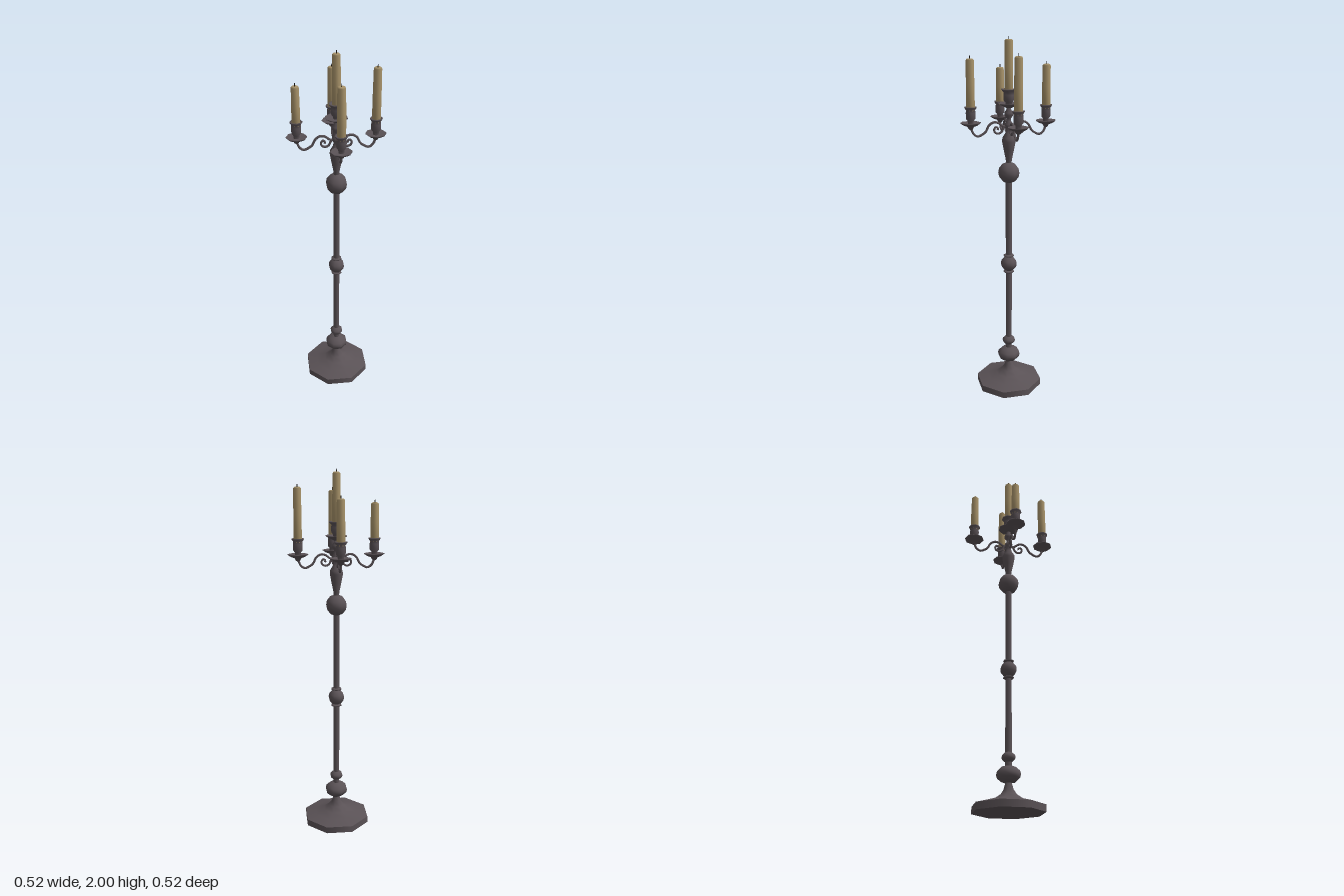
import * as THREE from 'three';

const metal = new THREE.MeshStandardMaterial({ color: 0x5a5256 });
metal.name = 'dark iron';
const wax = new THREE.MeshStandardMaterial({ color: 0xa8936a });
wax.name = 'beeswax';
const char = new THREE.MeshStandardMaterial({ color: 0x1c1816 });
char.name = 'charred wick';

const FLAT = Math.PI / 8; // turns an octagon so that its flats face the axes

// Eight-sided turned part from [radius, y] pairs, listed bottom to top
function turned(name, profile, material, phase = 0) {
  const k = phase ? 1 / Math.cos(phase) : 1;
  const points = profile.map(([r, y]) => new THREE.Vector2(r * k, y));
  const mesh = new THREE.Mesh(new THREE.LatheGeometry(points, 8, phase), material);
  mesh.name = name;
  return mesh;
}

// Bent iron rod through [distance from the axis, y] pairs
function rod(name, path, radius) {
  const curve = new THREE.CatmullRomCurve3(path.map(([x, y]) => new THREE.Vector3(x, y, 0)));
  const mesh = new THREE.Mesh(new THREE.TubeGeometry(curve, 24, radius, 6), metal);
  mesh.name = name;
  return mesh;
}

// Ball profile with pointed ends hidden in the shaft
function ball(y, r, h, neck) {
  return [[neck, y - h], [r * 0.6, y - h * 0.85], [r * 0.92, y - h * 0.42], [r, y],
    [r * 0.92, y + h * 0.42], [r * 0.6, y + h * 0.85], [neck, y + h]];
}

function candle(bottom, top) {
  const group = new THREE.Group();
  group.name = 'candle';
  const body = top - 0.014;
  group.add(turned('waxBody', [[0, bottom], [0.0215, bottom], [0.021, (bottom + body) / 2],
    [0.0195, body - 0.008], [0.014, body - 0.001], [0, body - 0.003]], wax, FLAT));
  const wick = new THREE.Mesh(new THREE.CylinderGeometry(0.002, 0.0025, 0.02, 5), char);
  wick.name = 'wick';
  wick.position.y = top - 0.01;
  group.add(wick);
  return group;
}

// Drip dish and candle cup carried at the end of an arm
function holder() {
  const group = new THREE.Group();
  group.name = 'holder';
  group.add(turned('dripDish', [[0, 1.522], [0.012, 1.53], [0.018, 1.542], [0.038, 1.549],
    [0.055, 1.56], [0.055, 1.564], [0.036, 1.557], [0, 1.556]], metal));
  group.add(turned('cup', [[0.015, 1.555], [0.016, 1.572], [0.025, 1.583], [0.026, 1.615],
    [0.024, 1.628], [0.033, 1.641], [0.033, 1.646], [0.024, 1.644], [0.02, 1.63], [0, 1.63]], metal));
  return group;
}

export function createModel() {
  const model = new THREE.Group();
  model.name = 'candelabrum';

  // Flared foot
  model.add(turned('foot', [[0, 0], [0.175, 0], [0.175, 0], [0.175, 0.036], [0.175, 0.036],
    [0.12, 0.052], [0.07, 0.068], [0.04, 0.09], [0.024, 0.115], [0.015, 0.15]], metal, FLAT));

  // Column with its knops
  model.add(turned('shaft', [[0.016, 0.13], [0.016, 1.25]], metal, FLAT));
  model.add(turned('lowerKnop', ball(0.19, 0.06, 0.043, 0.014), metal, FLAT));
  model.add(turned('smallKnop', ball(0.278, 0.034, 0.026, 0.014), metal, FLAT));
  model.add(turned('middleKnop', ball(0.758, 0.042, 0.042, 0.014), metal, FLAT));
  model.add(turned('upperKnop', ball(1.285, 0.054, 0.056, 0.012), metal, FLAT));
  for (const y of [0.71, 0.806]) {
    model.add(turned('collar', [[0.014, y - 0.008], [0.027, y - 0.003], [0.027, y + 0.003],
      [0.014, y + 0.008]], metal, FLAT));
  }

  // Vase and stem that carry the arms
  model.add(turned('vase', [[0.013, 1.33], [0.016, 1.36], [0.026, 1.41], [0.034, 1.455],
    [0.032, 1.475], [0.018, 1.5], [0.013, 1.52], [0.02, 1.535], [0.022, 1.55], [0.012, 1.565],
    [0.011, 1.58], [0.022, 1.595], [0.022, 1.61], [0.012, 1.625], [0.012, 1.645]], metal, FLAT));

  // Central dish, cup and candle
  model.add(turned('centreDish', [[0, 1.63], [0.015, 1.635], [0.035, 1.645], [0.055, 1.656],
    [0.055, 1.66], [0.036, 1.653], [0, 1.652]], metal, FLAT));
  model.add(turned('centreCup', [[0.015, 1.65], [0.017, 1.663], [0.026, 1.674], [0.027, 1.702],
    [0.025, 1.714], [0.037, 1.728], [0.037, 1.733], [0.025, 1.73], [0.02, 1.718], [0, 1.718]], metal, FLAT));
  model.add(candle(1.715, 2));

  // Four arms, with candles burnt to different heights: +x, +z, -x, -z
  [1.925, 1.905, 1.845, 1.872].forEach((top, i) => {
    const arm = new THREE.Group();
    arm.name = 'arm';
    arm.add(rod('branch', [[0.01, 1.535], [0.035, 1.54], [0.06, 1.558], [0.085, 1.56], [0.108, 1.545],
      [0.125, 1.513], [0.145, 1.498], [0.168, 1.489], [0.19, 1.502], [0.205, 1.535]], 0.0065));
    arm.add(rod('scroll', [[0.012, 1.545], [0.03, 1.528], [0.038, 1.51], [0.055, 1.5], [0.074, 1.506],
      [0.08, 1.522], [0.07, 1.535], [0.058, 1.528], [0.062, 1.52]], 0.006));
    const end = new THREE.Group();
    end.name = 'armEnd';
    end.position.x = 0.205;
    end.add(holder(), candle(1.625, top));
    arm.add(end);
    arm.rotation.y = -i * Math.PI / 2;
    model.add(arm);
  });

  return model;
}
